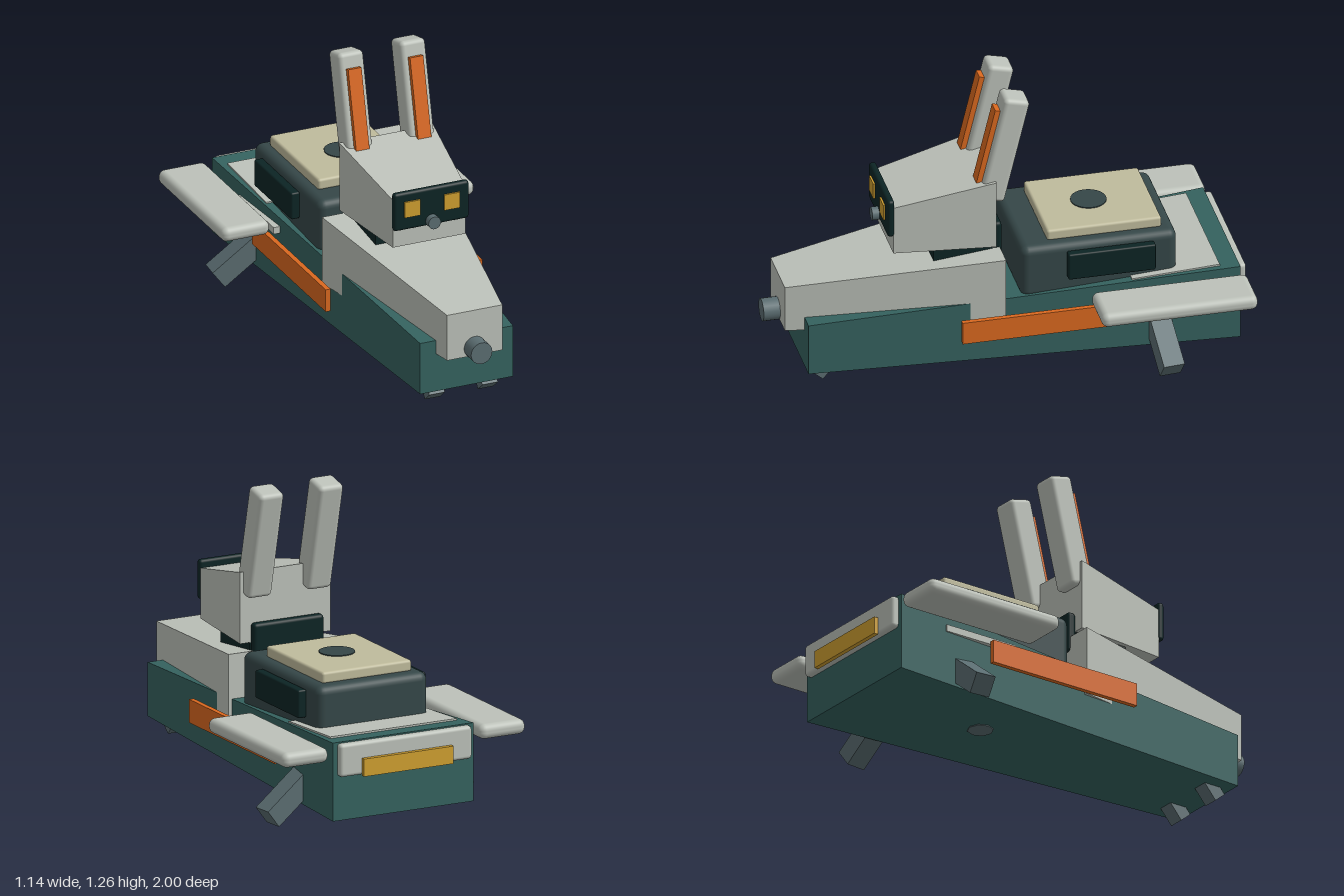
import * as THREE from 'three';
import { RoundedBoxGeometry } from 'three/addons/geometries/RoundedBoxGeometry.js';

const mat = (name, color) => Object.assign(new THREE.MeshStandardMaterial({ color }), { name });

export function createModel() {
  const teal = mat('teal', 0x35625f);
  const shell = mat('shell grey', 0xbcc1b9);
  const orange = mat('orange', 0xd9681f);
  const gold = mat('gold', 0xcf9f30);
  const dark = mat('near black', 0x0c2424);
  const metal = mat('metal grey', 0x5b6d71);
  const slate = mat('dark slate', 0x354748);
  const cream = mat('cream', 0xbfbb9c);

  const model = new THREE.Group();
  model.name = 'rabbitCraft';

  const add = (name, geo, material, x = 0, y = 0, z = 0, parent = model) => {
    const m = new THREE.Mesh(geo, material);
    m.name = name;
    m.position.set(x, y, z);
    parent.add(m);
    return m;
  };
  const box = (w, h, d) => new THREE.BoxGeometry(w, h, d);
  const round = (w, h, d, r) => new RoundedBoxGeometry(w, h, d, 3, r);

  // Tapered block: each end is [z, halfWidth, bottom, top]
  const taper = (front, back) => {
    const g = box(2, 2, 2).toNonIndexed();
    const p = g.attributes.position;
    for (let i = 0; i < p.count; i++) {
      const [z, hw, y0, y1] = p.getZ(i) > 0 ? front : back;
      p.setXYZ(i, p.getX(i) * hw, p.getY(i) > 0 ? y1 : y0, z);
    }
    g.computeVertexNormals();
    return g;
  };

  // Body
  add('hull', taper([0.85, 0.21, 0.08, 0.31], [-0.95, 0.33, 0.08, 0.415]), teal);
  add('noseCowl', taper([0.93, 0.125, 0.25, 0.455], [0.03, 0.28, 0.25, 0.55]), shell);
  add('rearDeck', taper([-0.5, 0.29, 0.36, 0.395], [-0.87, 0.297, 0.36, 0.418]), shell);
  add('rearBumper', round(0.62, 0.14, 0.04, 0.015), shell, 0, 0.34, -0.96);
  add('tailLight', box(0.42, 0.075, 0.02), gold, 0, 0.305, -0.99);
  add('bellyPlate', new THREE.CylinderGeometry(0.055, 0.055, 0.006, 8), metal, -0.03, 0.079, -0.33);
  const tip = add('noseTip', new THREE.CylinderGeometry(0.048, 0.048, 0.08, 24), metal, 0, 0.288, 0.96);
  tip.rotation.x = Math.PI / 2;

  // Cargo pack
  add('cargoPack', round(0.52, 0.24, 0.66, 0.035), slate, 0, 0.46, -0.37);
  add('cargoLid', round(0.42, 0.05, 0.485, 0.012), cream, 0, 0.6, -0.402);
  add('lidDisc', new THREE.CylinderGeometry(0.075, 0.075, 0.006, 24), slate, 0, 0.626, -0.385);

  // Head and neck
  add('neck', box(0.33, 0.1, 0.25), dark, 0, 0.54, 0.185);
  add('neckGuard', round(0.33, 0.18, 0.04, 0.015), dark, 0, 0.575, 0.04);
  add('head', taper([0.48, 0.165, 0.58, 0.795], [0.055, 0.213, 0.58, 0.885]), shell);
  add('visor', round(0.34, 0.17, 0.03, 0.013), dark, 0, 0.745, 0.49);
  const snout = add('snout', new THREE.CylinderGeometry(0.028, 0.028, 0.04, 20), metal, 0, 0.683, 0.515);
  snout.rotation.x = Math.PI / 2;

  // Mirrored parts
  for (const s of [1, -1]) {
    const side = s > 0 ? 'left' : 'right';
    add(side + 'Eye', box(0.07, 0.07, 0.01), gold, s * 0.09, 0.755, 0.508);

    const ear = new THREE.Group();
    ear.name = side + 'Ear';
    ear.position.set(s * 0.14, 1.02, 0.015);
    ear.rotation.x = -0.235;
    model.add(ear);
    add('earShell', round(0.115, 0.48, 0.11, 0.02), shell, 0, 0, 0, ear);
    add('innerEar', box(0.06, 0.345, 0.022), orange, 0, 0, 0.066, ear);

    add(side + 'PackVent', round(0.04, 0.12, 0.37, 0.008), dark, s * 0.28, 0.49, -0.415);
    add(side + 'SideStrip', box(0.022, 0.1, 0.73), orange, s * 0.344, 0.27, -0.133);
    add(side + 'Wing', round(0.215, 0.064, 0.66, 0.028), shell, s * 0.463, 0.37, -0.64);
    add(side + 'HullStripe', box(0.03, 0.03, 0.35), shell, s * 0.305, 0.33, -0.535);

    const leg = add(side + 'RearLeg', box(0.25, 0.09, 0.09), metal, s * 0.362, 0.115, -0.62);
    leg.rotation.set(0, s * 0.1, -s * 0.65);
    const foot = add(side + 'FrontFoot', box(0.07, 0.12, 0.06), metal, s * 0.12, 0.08, 0.76);
    foot.rotation.x = -0.7;
  }
  return model;
}
